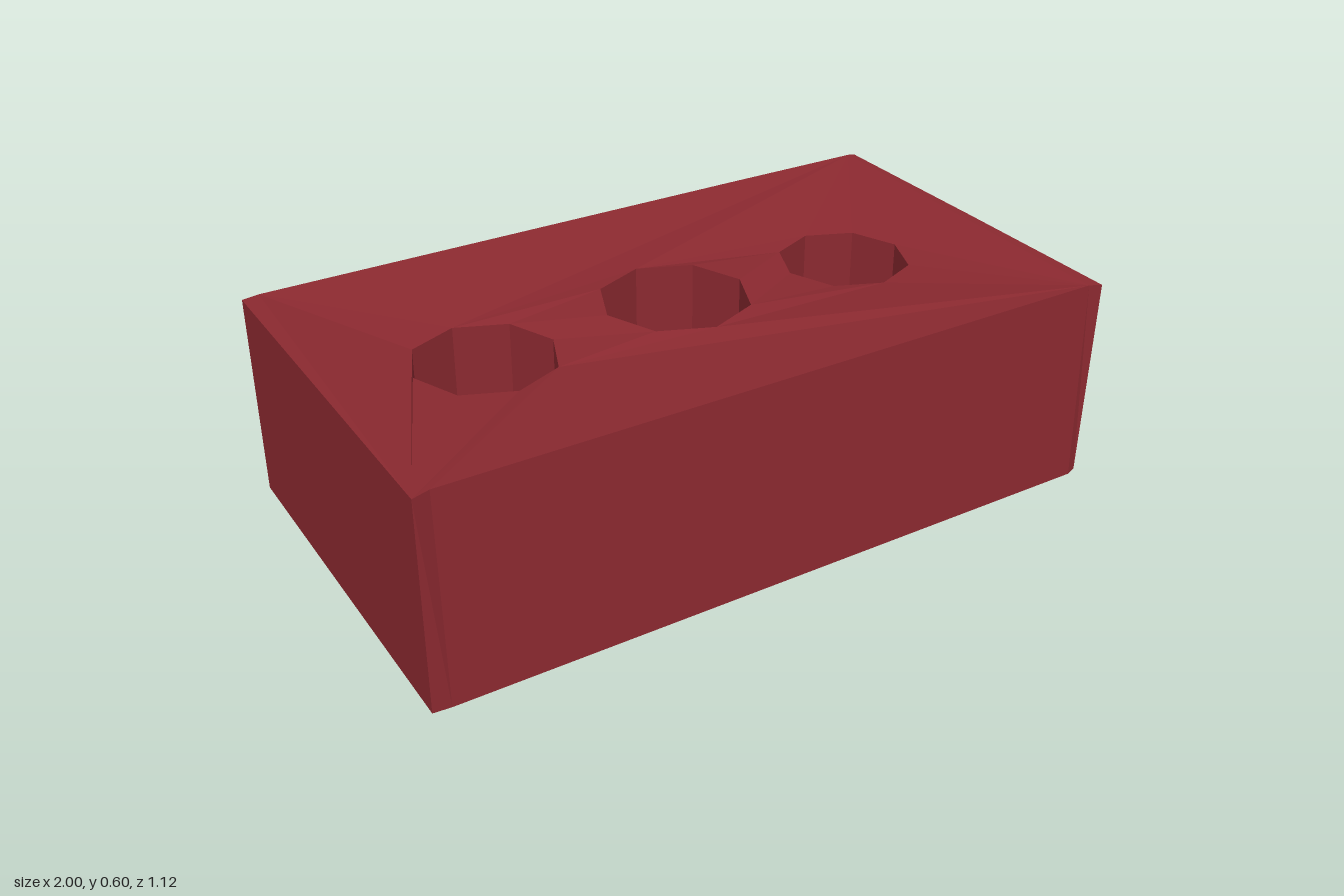
import * as THREE from 'three';

const TOP = 0.6, BOTTOM = 0.018;

// Eight-sided opening, drawn in plan with shape y = -z
function octagonHole(cx, cz, rx, rz) {
  const points = [];
  for (let i = 0; i < 8; i++) {
    const a = (i * Math.PI) / 4;
    points.push(new THREE.Vector2(cx + rx * Math.cos(a), -cz + rz * Math.sin(a)));
  }
  return new THREE.Path(points);
}

export function createModel() {
  const group = new THREE.Group();
  group.name = 'brick';

  // Plan outline, slightly wider towards the back
  const outline = new THREE.Shape([
    [-0.998, -0.558], [-0.95, -0.552], [0.95, -0.552], [0.982, -0.558],
    [0.992, 0], [0.998, 0.553], [0.98, 0.561], [0.55, 0.563],
    [-0.95, 0.56], [-0.998, 0.55],
  ].map(([x, y]) => new THREE.Vector2(x, y)));

  // Three core holes running right through
  outline.holes.push(
    octagonHole(-0.563, -0.005, 0.193, 0.194),
    octagonHole(0, -0.015, 0.206, 0.205),
    octagonHole(0.556, -0.014, 0.183, 0.184),
  );

  const geometry = new THREE.ExtrudeGeometry(outline, { depth: TOP - BOTTOM, bevelEnabled: false });
  geometry.rotateX(-Math.PI / 2).translate(0, BOTTOM, 0);

  const p = geometry.attributes.position;
  for (let i = 0; i < p.count; i++) {
    const x = p.getX(i), z = p.getZ(i);
    const low = p.getY(i) < 0.3;
    if (Math.abs(x) < 0.8 && Math.abs(z) < 0.3) {
      // Both faces are dished around the holes
      if (low) p.setY(i, BOTTOM + (x < -0.3 ? 0.02 : 0.033));
      else p.setY(i, TOP - (Math.abs(x) > 0.3 ? 0.045 : 0.023));
    } else if (z > 0.5) {
      // Front face leans out towards its foot, between upright corners
      if (Math.abs(x) < 0.96) p.setZ(i, low ? 0.562 : 0.543);
      else if (low && x > 0) p.setZ(i, 0.55);
    } else if (low && x > 0.9) {
      // Right side tapers in, with a sagging back corner
      p.setX(i, x - 0.009);
      if (z < -0.5) p.setY(i, 0.003);
    }
  }
  geometry.computeVertexNormals();

  const body = new THREE.Mesh(
    geometry,
    new THREE.MeshStandardMaterial({ color: 0x8b2930, flatShading: true }),
  );
  body.name = 'brickBody';
  group.add(body);
  return group;
}
